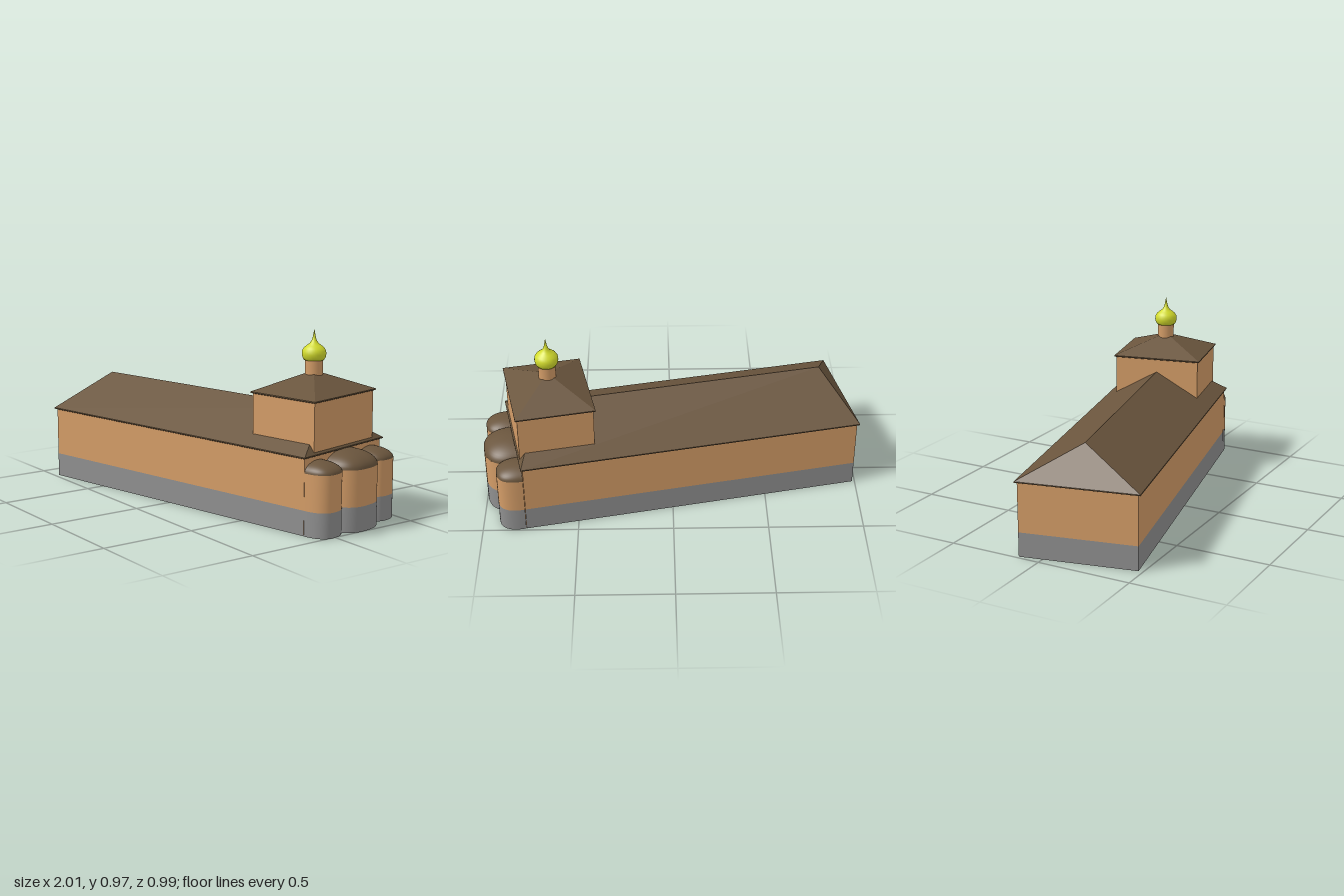
import * as THREE from 'three';

const material = (name, color) => {
  const m = new THREE.MeshStandardMaterial({ color, side: THREE.DoubleSide });
  m.name = name;
  return m;
};

// Rectangular ring: corners run front-left, front-right, back-right, back-left
const rect = (hx, hz, y) => [[-hx, y, hz], [hx, y, hz], [hx, y, -hz], [-hx, y, -hz]];

// Flat-sided skin through rectangular rings; sides: 0 front, 1 east, 2 back, 3 west
function loft(rings, sides = [0, 1, 2, 3]) {
  const p = [];
  for (let r = 0; r < rings.length - 1; r++) {
    for (const i of sides) {
      const j = (i + 1) % 4;
      const a = rings[r][i], b = rings[r][j], c = rings[r + 1][j], d = rings[r + 1][i];
      p.push(...a, ...b, ...c, ...a, ...c, ...d);
    }
  }
  const g = new THREE.BufferGeometry();
  g.setAttribute('position', new THREE.Float32BufferAttribute(p, 3));
  g.computeVertexNormals();
  return g;
}

// Hipped roof with a thin eave edge
const hipRoof = (hx, hz, inset, y, top) =>
  loft([rect(hx - 0.012, hz - 0.012, y - 0.005), rect(hx, hz, y), rect(hx, hz, y + 0.006), rect(hx - inset, 0, top)]);

// Turns the round plan of a unit cylinder or sphere into a fuller apse plan
function apsePlan(g, depth, width, height) {
  const pos = g.attributes.position, e = 2 / 2.6;
  for (let i = 0; i < pos.count; i++) {
    const x = pos.getX(i), z = pos.getZ(i), r = Math.hypot(x, z);
    if (r < 1e-6) {
      pos.setXYZ(i, 0, pos.getY(i) * height, 0);
      continue;
    }
    const bend = (v) => Math.sign(v) * Math.pow(Math.abs(v / r), e) * r;
    pos.setXYZ(i, bend(x) * depth, pos.getY(i) * height, bend(z) * width);
  }
  g.computeVertexNormals();
  return g;
}

export function createModel() {
  const plaster = material('plaster', 0xd39c67);
  const stone = material('plinth grey', 0x8f8f8f);
  const roofing = material('roof brown', 0x6a553d);
  const gold = material('cupola gold', 0xd3dc2c);

  const model = new THREE.Group();
  model.name = 'church';
  const church = new THREE.Group();
  church.name = 'building';
  church.position.set(-0.045, 0, -0.005);
  church.rotation.y = 0.205;
  model.add(church);

  const add = (name, geometry, mat, x = 0, y = 0, z = 0) => {
    const m = new THREE.Mesh(geometry, mat);
    m.name = name;
    m.position.set(x, y, z);
    church.add(m);
    return m;
  };

  // Nave
  const HX = 0.898, HZ = 0.305, PLINTH = 0.128, EAVE = 0.388;
  add('navePlinth', loft([rect(HX, HZ, 0), rect(HX, HZ, PLINTH)], [0, 2, 3]), stone);
  add('naveWalls', loft([rect(HX, HZ, PLINTH), rect(HX, HZ, EAVE)]), plaster);
  add('naveEastWallBase', loft([rect(HX, HZ, 0), rect(HX, HZ, PLINTH)], [1]), plaster);
  add('naveRoof', hipRoof(0.909, 0.317, 0.142, EAVE, 0.576), roofing);

  // Three apses at the east end, each trimmed where it meets its neighbour
  const APSE_TOP = 0.314, APSE_X = 0.9;
  const apses = [
    { name: 'centralApse', z: 0, depth: 0.163, width: 0.148, rise: 0.076, from: 0.48, to: Math.PI - 0.48 },
    { name: 'leftApse', z: -0.211, depth: 0.126, width: 0.095, rise: 0.052, from: Math.PI - 2.396, to: Math.PI },
    { name: 'rightApse', z: 0.211, depth: 0.126, width: 0.095, rise: 0.052, from: 0, to: 2.396 },
  ];
  for (const a of apses) {
    const wall = (h) => apsePlan(
      new THREE.CylinderGeometry(1, 1, 1, 28, 1, true, a.from, a.to - a.from), a.depth, a.width, h);
    add(a.name + 'Plinth', wall(PLINTH), stone, APSE_X, PLINTH / 2, a.z);
    add(a.name + 'Wall', wall(APSE_TOP - PLINTH), plaster, APSE_X, (APSE_TOP + PLINTH) / 2, a.z);
    const dome = new THREE.SphereGeometry(1, 32, 12, Math.PI / 2, Math.PI, 0, Math.PI / 2);
    add(a.name + 'Dome', apsePlan(dome, a.depth, a.width, a.rise), roofing, APSE_X, APSE_TOP, a.z);
  }

  // Tower over the east end
  const TX = 0.705;
  add('towerWalls', loft([rect(0.196, 0.236, 0.395), rect(0.196, 0.236, 0.65)]), plaster, TX);
  add('towerRoof', hipRoof(0.206, 0.246, 0.206, 0.65, 0.757), roofing, TX);

  // Drum and onion cupola
  add('drum', new THREE.CylinderGeometry(0.045, 0.045, 0.09, 32, 1, true), plaster, TX, 0.77, 0);
  const profile = [
    [0, 0.81], [0.05, 0.81], [0.058, 0.823], [0.0615, 0.84], [0.06, 0.856], [0.052, 0.87],
    [0.038, 0.882], [0.024, 0.892], [0.014, 0.905], [0.008, 0.922], [0.004, 0.943], [0, 0.966],
  ].map(([r, y]) => new THREE.Vector2(r, y));
  add('onionCupola', new THREE.LatheGeometry(profile, 32), gold, TX);

  return model;
}
